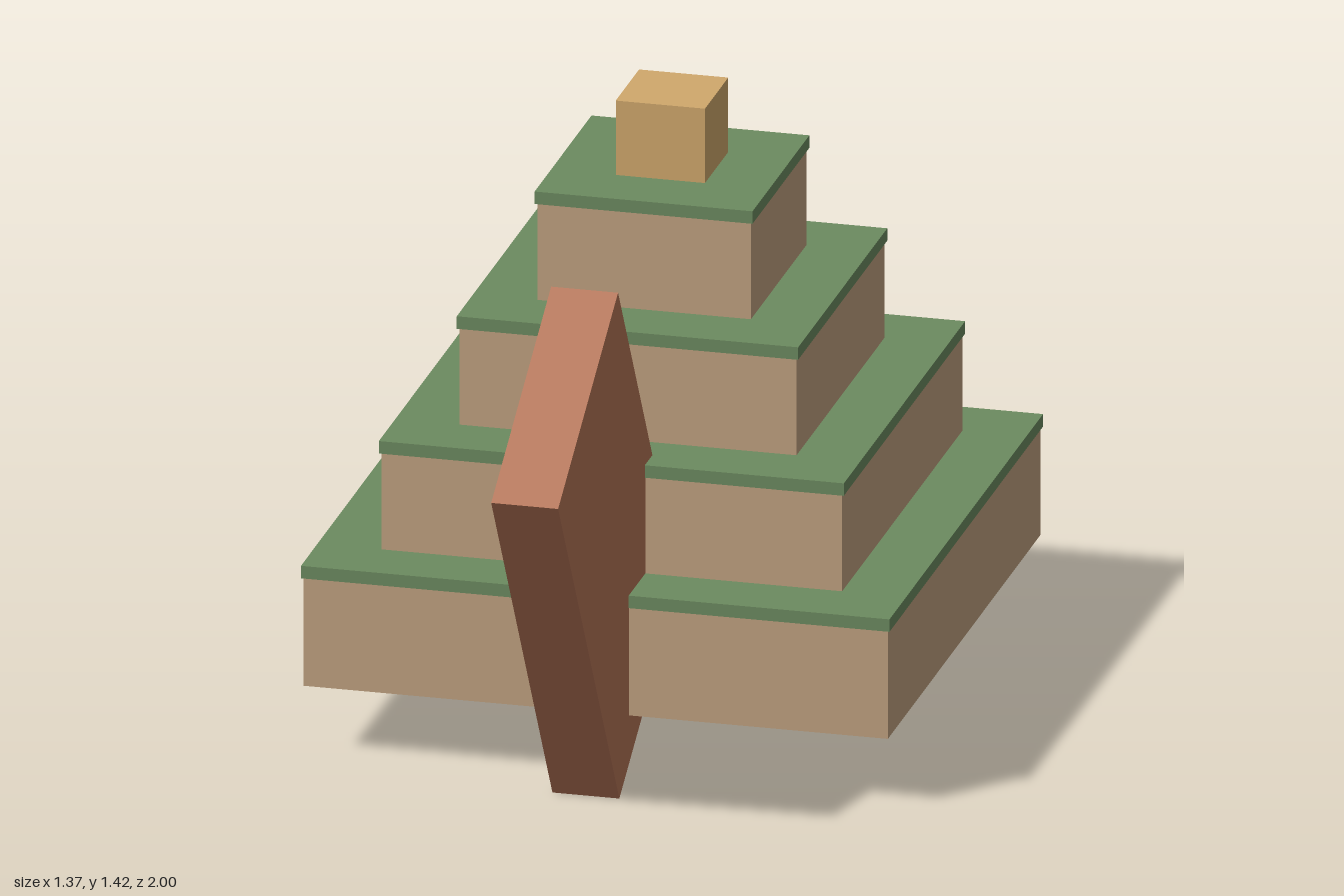
import * as THREE from 'three';

const material = (name, color) => {
  const m = new THREE.MeshStandardMaterial({ color });
  m.name = name;
  return m;
};

export function createModel() {
  const stone = material('sandstone', 0xc0a180);
  const moss = material('moss green', 0x6c8b60);
  const clay = material('clay red', 0xb47456);
  const gold = material('pale gold', 0xd0a86c);

  const model = new THREE.Group();
  model.name = 'steppedPyramid';

  const box = (name, mat, w, h, d, x, y, z) => {
    const mesh = new THREE.Mesh(new THREE.BoxGeometry(w, h, d), mat);
    mesh.name = name;
    mesh.position.set(x, y, z);
    model.add(mesh);
    return mesh;
  };

  // Four shrinking tiers, each with a thin overhanging grass cap
  const centreZ = -0.315, baseY = 0.17, step = 0.262;
  const bodyHeight = 0.26, capTop = 0.29, capHeight = 0.03;
  for (let i = 0; i < 4; i++) {
    const size = 1.362 - i * 0.288;
    const bottom = baseY + i * step;
    box(`tier${i + 1}`, stone, size, bodyHeight, size, 0, bottom + bodyHeight / 2, centreZ);
    box(`tierCap${i + 1}`, moss, size + 0.01, capHeight, size + 0.01,
      0, bottom + capTop - capHeight / 2, centreZ);
  }

  // Small shrine block on the summit
  box('shrine', gold, 0.208, 0.18, 0.208, 0, 1.335, centreZ);

  // Tilted stair slab sunk into the front
  const stair = box('stairSlab', clay, 0.156, 1.048, 0.628, 0, 0.6125, 0.46);
  stair.rotation.x = 0.549;

  return model;
}
